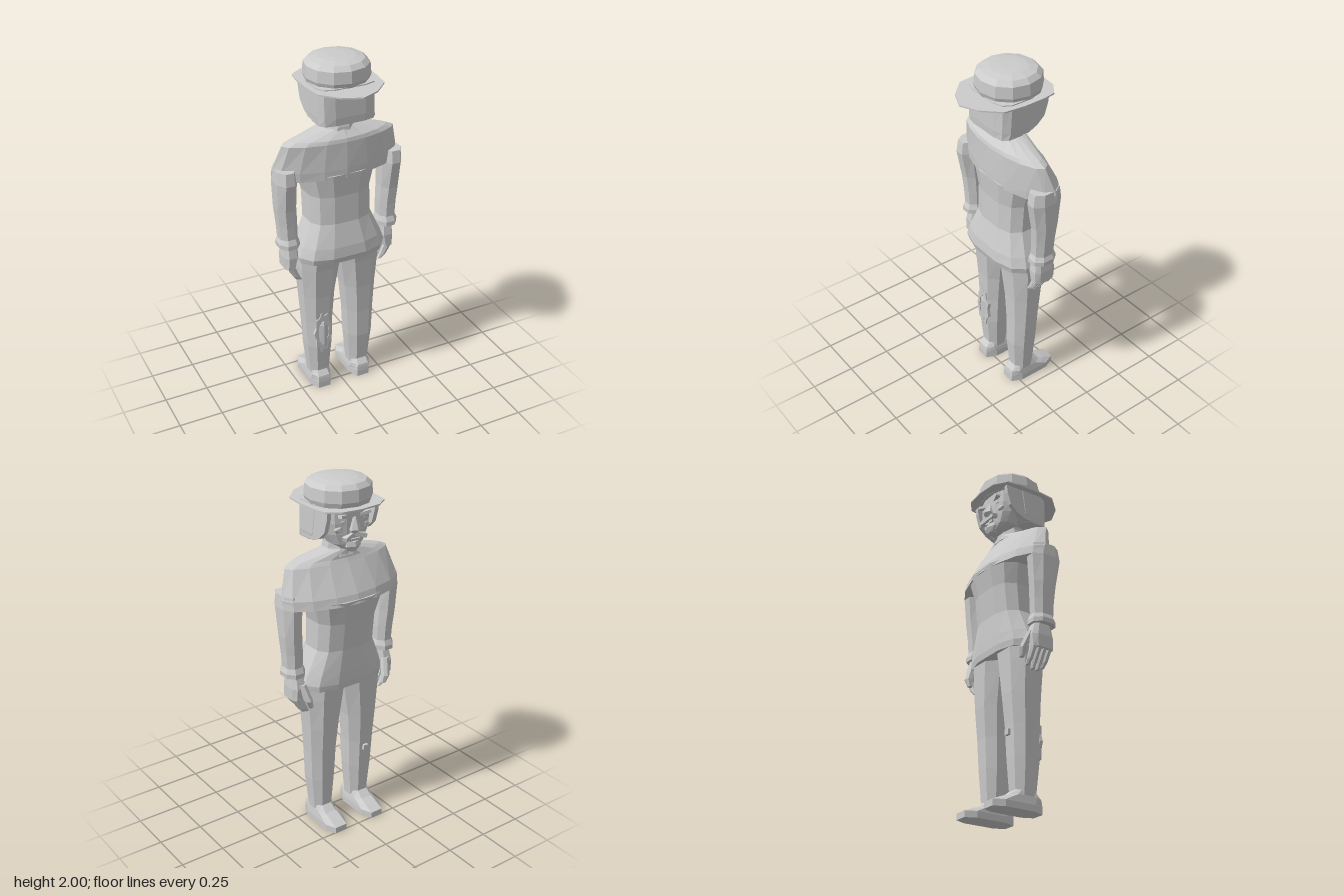
import * as THREE from 'three';

const grey = new THREE.MeshStandardMaterial({ color: 0xcccccc });
grey.name = 'plain grey';

// Faceted mesh added to a parent
function add(parent, name, geometry) {
  const g = geometry.index ? geometry.toNonIndexed() : geometry;
  g.computeVertexNormals();
  const mesh = new THREE.Mesh(g, grey);
  mesh.name = name;
  parent.add(mesh);
  return mesh;
}

// Capped loft through horizontal rings [y, x0, x1, z0, z1], listed bottom to top.
// power < 1 makes rings boxier, > 1 makes them more like a diamond.
function loft(rings, n = 8, power = 1, flatSides = true) {
  const off = flatSides ? Math.PI / n : 0;
  const bend = v => Math.sign(v) * Math.pow(Math.abs(v), power);
  const fit = flatSides ? 1 / bend(Math.cos(off)) : 1;
  const pos = [], idx = [];
  rings.forEach(([y, x0, x1, z0, z1]) => {
    for (let i = 0; i < n; i++) {
      const a = off + (i / n) * Math.PI * 2;
      pos.push((x0 + x1) / 2 + Math.abs(x1 - x0) / 2 * fit * bend(Math.cos(a)), y,
        (z0 + z1) / 2 + Math.abs(z1 - z0) / 2 * fit * bend(Math.sin(a)));
    }
  });
  for (let j = 0; j < rings.length - 1; j++) for (let i = 0; i < n; i++) {
    const a = j * n + i, b = j * n + (i + 1) % n;
    idx.push(b, a, a + n, b, a + n, b + n);
  }
  const top = (rings.length - 1) * n;
  for (let i = 1; i < n - 1; i++) idx.push(0, i, i + 1, top, top + i + 1, top + i);
  const g = new THREE.BufferGeometry();
  g.setAttribute('position', new THREE.Float32BufferAttribute(pos, 3));
  g.setIndex(idx);
  return g;
}

// Ring symmetric about x = 0
const mid = (y, w, z0, z1) => [y, -w, w, z0, z1];
const box = (w, h, d, x, y, z) => new THREE.BoxGeometry(w, h, d).translate(x, y, z);
const shapeOf = pts => new THREE.Shape(pts.map(p => new THREE.Vector2(p[0], p[1])));
const flat = depth => ({ depth, bevelEnabled: false });

function buildTorso(parent) {
  // Shoulders and chest
  add(parent, 'shoulders', loft([
    mid(1.36, 0.365, -0.235, 0.08), mid(1.41, 0.37, -0.22, 0.08),
    mid(1.56, 0.325, -0.135, 0.075), mid(1.58, 0.28, -0.125, 0.07),
    mid(1.625, 0.09, -0.12, 0.03),
  ], 16, 1.12, false));
  // Coat with waist and flared skirt
  add(parent, 'coat', loft([
    mid(0.865, 0.25, -0.185, 0.105), mid(0.9, 0.255, -0.19, 0.115),
    mid(0.96, 0.235, -0.19, 0.108), mid(1.09, 0.18, -0.187, 0.075),
    mid(1.25, 0.18, -0.205, 0.07), mid(1.38, 0.215, -0.233, 0.08),
  ], 12, 0.72));
  add(parent, 'neck', loft([
    mid(1.59, 0.1, -0.125, 0.04), mid(1.63, 0.08, -0.11, 0.035),
    mid(1.66, 0.075, -0.105, 0.025), mid(1.72, 0.075, -0.1, 0.015),
  ], 8));
}

function buildArm(parent, s) {
  const side = (y, a, b, z0, z1) => [y, s * a, s * b, z0, z1];
  add(parent, 'sleeve', loft([
    side(0.99, 0.25, 0.345, -0.105, 0.012), side(1.1, 0.25, 0.352, -0.11, 0.015),
    side(1.2, 0.255, 0.362, -0.118, 0.022), side(1.36, 0.255, 0.368, -0.13, 0.05),
    side(1.43, 0.26, 0.362, -0.12, 0.04),
  ], 8, 0.9));
  add(parent, 'cuff', loft([
    side(0.965, 0.24, 0.355, -0.118, 0.025), side(0.99, 0.24, 0.357, -0.118, 0.025),
    side(1.02, 0.25, 0.345, -0.107, 0.013),
  ], 8, 0.9));
  add(parent, 'palm', loft([
    side(0.83, 0.268, 0.33, -0.115, 0.01), side(0.9, 0.25, 0.332, -0.12, 0.012),
    side(0.97, 0.255, 0.325, -0.1, 0.0),
  ], 8, 0.6));
  for (let i = 0; i < 4; i++) {
    const z = -0.102 + i * 0.031, tip = i === 0 || i === 3 ? 0.75 : 0.733;
    add(parent, 'finger', loft([
      side(tip, 0.235, 0.258, z - 0.009, z + 0.009),
      side(0.775, 0.25, 0.285, z - 0.013, z + 0.013),
      side(0.84, 0.278, 0.325, z - 0.014, z + 0.014),
    ], 6, 0.8));
  }
  add(parent, 'thumb', loft([
    side(0.785, 0.235, 0.26, -0.15, -0.125), side(0.83, 0.24, 0.28, -0.16, -0.12),
    side(0.92, 0.26, 0.3, -0.125, -0.085),
  ], 6, 0.8));
}

function buildLeg(parent, s) {
  const side = (y, a, b, z0, z1) => [y, s * a, s * b, z0, z1];
  add(parent, 'trouserLeg', loft([
    side(0.06, 0.07, 0.183, -0.11, 0.012), side(0.12, 0.066, 0.188, -0.115, 0.016),
    side(0.28, 0.053, 0.204, -0.126, 0.03), side(0.45, 0.047, 0.212, -0.135, 0.03),
    side(0.62, 0.033, 0.222, -0.15, 0.036), side(0.8, 0.005, 0.235, -0.16, 0.05),
    side(0.89, -0.01, 0.235, -0.165, 0.06),
  ], 8, 0.85));
  // Shoe rising from the toe to the ankle
  add(parent, 'shoe', loft([
    side(0, 0.063, 0.19, -0.255, 0.045), side(0.035, 0.063, 0.19, -0.255, 0.045),
    side(0.058, 0.066, 0.187, -0.2, 0.043), side(0.075, 0.07, 0.185, -0.155, 0.04),
    side(0.11, 0.08, 0.175, -0.11, 0.01),
  ], 8, 0.6));
}

function buildHead(parent) {
  // Bobbed hair with side pieces sweeping forward to the cheeks
  add(parent, 'hair', loft([
    mid(1.68, 0.16, -0.05, 0.112), mid(1.72, 0.164, -0.1, 0.115),
    mid(1.88, 0.165, -0.13, 0.115),
  ], 12, 0.5));
  const cheek = shapeOf([[0.05, 1.69], [-0.05, 1.685], [-0.105, 1.71], [-0.15, 1.75],
    [-0.172, 1.82], [-0.178, 1.87], [0.05, 1.87]]);
  for (const s of [-1, 1]) {
    const g = new THREE.ExtrudeGeometry(cheek, flat(0.024));
    g.rotateY(-Math.PI / 2).translate(s > 0 ? 0.162 : -0.138, 0, 0);
    add(parent, 'sideHair', g);
  }
  // Face on the -z side
  add(parent, 'face', loft([
    mid(1.645, 0.045, -0.175, -0.1), mid(1.675, 0.095, -0.178, -0.03),
    mid(1.73, 0.125, -0.182, 0), mid(1.79, 0.138, -0.185, 0),
    mid(1.87, 0.14, -0.185, 0),
  ], 12, 0.8));
  add(parent, 'chinBeard', loft([
    mid(1.632, 0.02, -0.185, -0.15), mid(1.66, 0.045, -0.195, -0.13),
    mid(1.685, 0.04, -0.19, -0.13),
  ], 6));
  add(parent, 'nose', loft([
    mid(1.735, 0.026, -0.2, -0.16), mid(1.752, 0.03, -0.215, -0.16),
    mid(1.815, 0.012, -0.192, -0.16),
  ], 6));
  add(parent, 'mouth', box(0.07, 0.012, 0.02, 0, 1.695, -0.18));
  for (const s of [-1, 1]) {
    const tache = box(0.07, 0.022, 0.03, 0, 0, 0);
    tache.rotateZ(-s * 0.3).rotateY(s * 0.25).translate(s * 0.035, 1.718, -0.185);
    add(parent, 'moustache', tache);
    const brow = box(0.075, 0.016, 0.025, 0, 0, 0);
    brow.rotateZ(s * 0.2).rotateY(s * 0.3).translate(s * 0.06, 1.825, -0.18);
    add(parent, 'eyebrow', brow);
    add(parent, 'eye', new THREE.IcosahedronGeometry(0.018, 0)
      .scale(1.3, 0.7, 0.7).translate(s * 0.058, 1.797, -0.172));
    add(parent, 'cheekbone', new THREE.IcosahedronGeometry(0.03, 0)
      .scale(1.2, 0.8, 0.7).translate(s * 0.078, 1.757, -0.16));
  }
}

function buildHat(parent) {
  const half = [[0.1, 0.21], [0.187, 0.12], [0.2, 0], [0.197, -0.12], [0.185, -0.19], [0.115, -0.24]];
  const outline = [[0, 0.255], ...half, [0, -0.252],
    ...half.slice().reverse().map(([x, z]) => [-x, z])];
  add(parent, 'hatBrim', new THREE.ExtrudeGeometry(shapeOf(outline), flat(0.008))
    .rotateX(Math.PI / 2).translate(0, 1.874, 0));
  const crown = [[1.865, 0.163], [1.9, 0.175], [1.962, 0.17], [1.986, 0.145], [1.996, 0.1], [2.0, 0.05]];
  add(parent, 'hatCrown', loft(crown.map(([y, r]) => mid(y, r, -0.047 - r, -0.047 + r)), 12, 0.95, false));
}

// Ragged tear on the right leg, with a peg showing through it
function buildLegTear(parent) {
  const ring = (k, jag) => Array.from({ length: 18 }, (_, i) => {
    const a = i / 18 * Math.PI * 2, r = k * (i % 2 ? 1 : jag);
    return [-0.128 + 0.055 * r * Math.cos(a), 0.38 + 0.14 * r * Math.sin(a)];
  });
  const shape = shapeOf(ring(1, 0.82));
  shape.holes.push(shapeOf(ring(0.62, 0.85)));
  add(parent, 'tornCloth', new THREE.ExtrudeGeometry(shape, flat(0.02)).translate(0, 0, 0.018));
  add(parent, 'innerPeg', loft([
    [0.27, -0.15, -0.1, 0, 0.036], [0.3, -0.155, -0.095, 0, 0.042], [0.43, -0.152, -0.1, 0, 0.042],
    [0.45, -0.145, -0.105, 0, 0.036],
  ], 6));
  add(parent, 'pegEnd', box(0.03, 0.03, 0.04, -0.125, 0.41, -0.13));
}

export function createModel() {
  const model = new THREE.Group();
  model.name = 'standingFigure';
  const section = (name, build, ...args) => {
    const g = new THREE.Group();
    g.name = name;
    build(g, ...args);
    model.add(g);
  };
  section('torso', buildTorso);
  section('head', buildHead);
  section('hat', buildHat);
  for (const [name, s] of [['left', 1], ['right', -1]]) {
    section(name + 'Arm', buildArm, s);
    section(name + 'Leg', buildLeg, s);
  }
  section('legTear', buildLegTear);
  return model;
}
